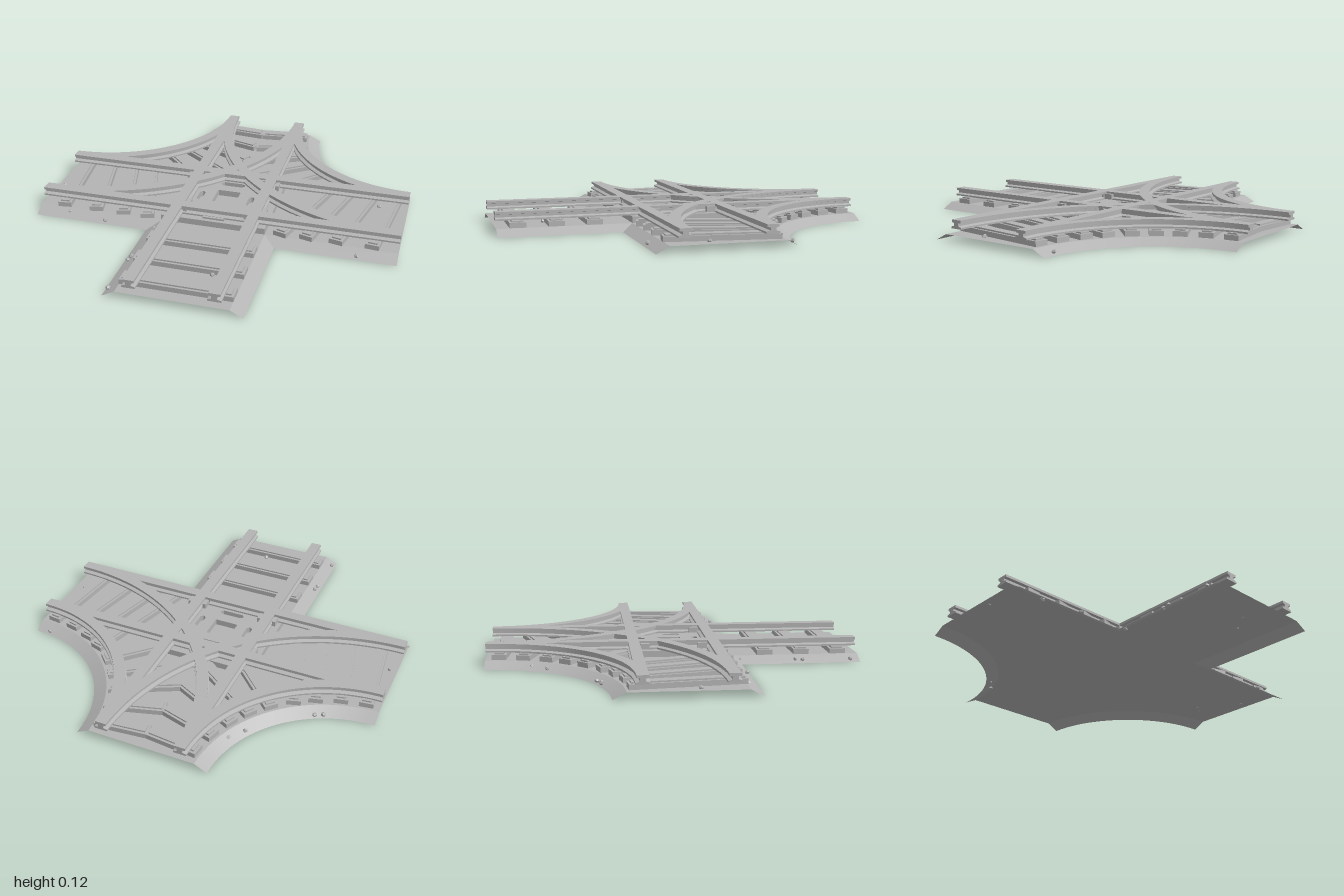
import * as THREE from 'three';
import { toCreasedNormals } from 'three/addons/utils/BufferGeometryUtils.js';

const GAUGE = 0.215;   // rail centre line from the track axis
const BED = 0.036;     // height of the ballast top

export function createModel() {
  const model = new THREE.Group();
  const grey = new THREE.MeshStandardMaterial({ color: 0xb4b4b4, side: THREE.DoubleSide });
  grey.name = 'grey';

  function add(parent, name, geometry, x = 0, y = 0, z = 0) {
    const mesh = new THREE.Mesh(geometry, grey);
    mesh.name = name;
    mesh.position.set(x, y, z);
    parent.add(mesh);
    return mesh;
  }
  function group(name) {
    const g = new THREE.Group();
    g.name = name;
    model.add(g);
    return g;
  }

  // Ballast bed: an open sheet with sloping shoulders, square front corners and round back ones
  function contour(d) {
    const arc = s => Array.from({ length: 25 }, (_, i) => {
      const a = (i / 24) * Math.PI / 2;
      return [s * (1 - (1 - d) * Math.sin(a)), -1 + (1 - d) * Math.cos(a)];
    });
    return [
      [[1, d], [d, d], [d, 1]],
      [[-d, 1], [-d, d], [-1, d]],
      arc(-1),
      arc(1).reverse(),
    ];
  }
  const bed = group('ballastBed');
  const outer = contour(0.357), inner = contour(0.29);
  const top = new THREE.Shape(inner.flat().map(([x, z]) => new THREE.Vector2(x, -z)));
  add(bed, 'ballastTop', new THREE.ShapeGeometry(top).rotateX(-Math.PI / 2), 0, BED - 0.001);
  outer.forEach((edge, k) => {
    const pos = [], index = [];
    edge.forEach(([x, z], i) => {
      const [ix, iz] = inner[k][i];
      pos.push(x, 0, z, ix, BED - 0.001, iz);
      if (i) index.push(2 * i - 2, 2 * i - 1, 2 * i, 2 * i, 2 * i - 1, 2 * i + 1);
    });
    const geo = new THREE.BufferGeometry();
    geo.setAttribute('position', new THREE.Float32BufferAttribute(pos, 3));
    geo.setIndex(index);
    add(bed, 'ballastShoulder', toCreasedNormals(geo, 0.5));
  });

  // Rails: one I-shaped section, extruded for straights and turned for curves
  const section = [
    [-0.035, 0.07], [0.035, 0.07], [0.035, 0.079], [0.014, 0.085], [0.014, 0.099], [0.03, 0.102],
    [0.03, 0.115], [-0.03, 0.115], [-0.03, 0.102], [-0.014, 0.099], [-0.014, 0.085], [-0.035, 0.079],
  ].map(p => new THREE.Vector2(...p));
  const rails = group('rails');
  const straight = () => new THREE.ExtrudeGeometry(new THREE.Shape(section), { depth: 2, bevelEnabled: false })
    .translate(0, 0, -1);
  for (const s of [-1, 1]) {
    add(rails, 'lengthwiseRail', straight(), s * GAUGE);
    add(rails, 'crosswiseRail', straight().rotateY(Math.PI / 2), 0, 0, s * GAUGE);
    for (const r of [1 - GAUGE, 1 + GAUGE]) {
      const loop = [...section, section[0]].map(p => new THREE.Vector2(p.x + r, p.y));
      const turned = new THREE.LatheGeometry(loop, 40, s > 0 ? Math.PI * 1.5 : 0, Math.PI / 2);
      add(rails, 'curvedRail', toCreasedNormals(turned, 0.4), s, 0, -1);
    }
  }

  // Sleepers: a beam between two points with a narrower raised tread
  const sleepers = group('sleepers');
  function sleeper(x1, z1, x2, z2, width = 0.085) {
    const dx = x2 - x1, dz = z2 - z1, len = Math.hypot(dx, dz);
    const g = new THREE.Group();
    g.name = 'sleeper';
    g.position.set((x1 + x2) / 2, BED, (z1 + z2) / 2);
    g.rotation.y = Math.atan2(-dz, dx);
    add(g, 'sleeperBeam', new THREE.BoxGeometry(len, 0.027, width), 0, 0.0135);
    add(g, 'sleeperTread', new THREE.BoxGeometry(len - 0.025, 0.009, width - 0.025), 0, 0.0305);
    sleepers.add(g);
  }
  for (const z of [0.49, 0.69, 0.89]) sleeper(-0.29, z, 0.29, z);
  const fan = [[0.86, 0.1], [0.67, 0.28], [0.51, 0.46], [0.37, 0.62]];
  const R = 0.722;
  for (const s of [-1, 1]) {
    for (const [x, a] of fan) {
      const sin = Math.sin(a), cos = Math.cos(a);
      // side arm, fanned from the front edge to the round edge
      sleeper(s * x, 0.29, s * (1 - R * sin), -1 + R * cos, 0.075);
      // back arm, half of a chevron
      const ex = 1 - R * cos, ez = -1 + R * sin;
      sleeper(s * ex, ez, 0, ez + ex * Math.tan(a), 0.075);
    }
    const d = 1 - R * Math.SQRT1_2;
    sleeper(s * d, -d, s * 0.2, -0.2, 0.075);
  }

  // Crossing plate with a square opening and four chamfered slots
  const plate = new THREE.Shape([[-0.29, -0.29], [0.29, -0.29], [0.29, 0.29], [-0.29, 0.29]]
    .map(p => new THREE.Vector2(...p)));
  function hole(x, z, w, h, c) {
    const pts = [[-w, c - h], [c - w, -h], [w - c, -h], [w, c - h], [w, h - c], [w - c, h], [c - w, h], [-w, h - c]];
    plate.holes.push(new THREE.Path(pts.map(([u, v]) => new THREE.Vector2(x + u, v - z))));
  }
  hole(0, 0, 0.066, 0.066, 0.004);
  hole(0, -0.147, 0.07, 0.02, 0.015);
  hole(0, 0.147, 0.07, 0.016, 0.012);
  for (const s of [-1, 1]) hole(s * 0.143, 0.02, 0.016, 0.05, 0.012);
  const crossing = group('crossing');
  const plateGeo = new THREE.ExtrudeGeometry(plate, { depth: 0.034, bevelEnabled: false });
  add(crossing, 'crossingPlate', plateGeo.rotateX(-Math.PI / 2), 0, BED);

  // Joint bars beside the rails at the crossing corners
  for (const s of [-1, 1]) {
    for (const [x, z] of [[0.17, 0.155], [0.17, 0.215], [0.26, 0.155], [0.17, -0.2], [0.26, -0.155]]) {
      add(crossing, 'jointBar', new THREE.BoxGeometry(0.02, 0.03, 0.05), s * x, 0.09, z);
    }
  }
  add(crossing, 'jointBar', new THREE.BoxGeometry(0.12, 0.01, 0.014), 0, 0.075, 0.262);

  // Loose stones on the ballast
  const stones = group('stones');
  const spots = [
    [-0.36, -0.75], [-0.42, -0.67], [-0.74, -0.4], [-0.7, -0.42], [0.92, -0.35], [0.79, -0.14], [0.84, -0.17],
    [-0.96, 0.06], [-0.82, 0.31], [-0.6, 0.34], [-0.31, 0.355], [-0.33, 0.65], [-0.335, 0.69],
    [-0.34, 0.95], [0.13, 0.74], [0.06, 0.84], [0.79, 0.34], [0.94, 0.08],
  ];
  spots.forEach(([x, z], i) => {
    const inside = Math.min(Math.abs(x), Math.abs(z)) < 0.28;
    const stone = add(stones, 'stone', new THREE.DodecahedronGeometry(0.013), x, inside ? BED + 0.004 : 0.018, z);
    stone.rotation.set(i, i * 2, 0);
    stone.scale.y = 0.8;
  });

  return model;
}
